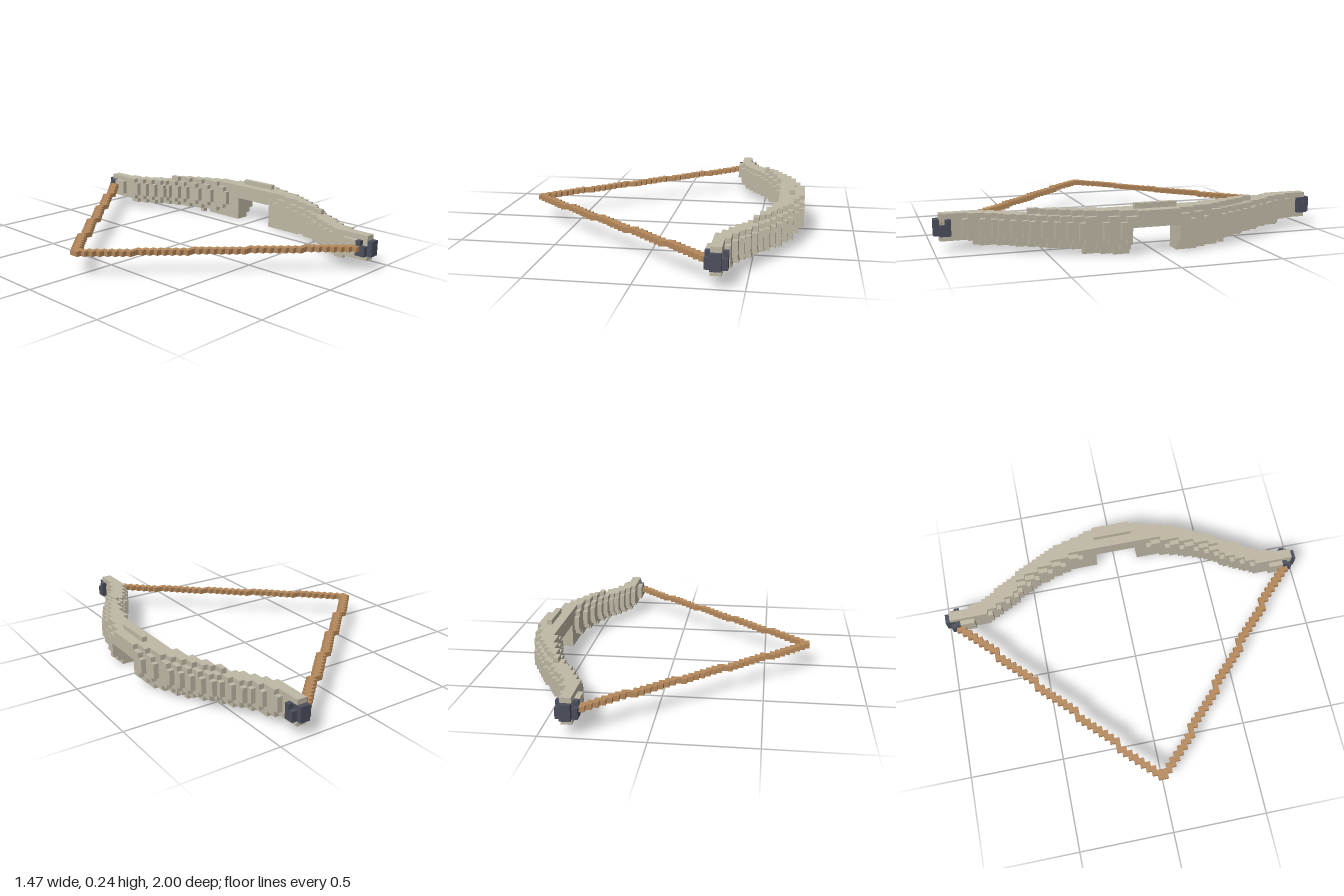
import * as THREE from 'three';
import { mergeGeometries } from 'three/addons/utils/BufferGeometryUtils.js';

const V = 2 / 76; // edge of one block
const X0 = -28 * V;

const mat = (name, color) => {
  const m = new THREE.MeshStandardMaterial({ color });
  m.name = name;
  return m;
};

// Box spanning block indices [i0,i1) x [y0,y1) x [k0,k1)
function blocks(i0, i1, y0, y1, k0, k1) {
  const g = new THREE.BoxGeometry((i1 - i0) * V, (y1 - y0) * V, (k1 - k0) * V);
  return g.translate(X0 + (i0 + i1) / 2 * V, (y0 + y1) / 2 * V, (k0 + k1) / 2 * V);
}

function part(name, geometries, material) {
  const mesh = new THREE.Mesh(mergeGeometries(geometries), material);
  mesh.name = name;
  return mesh;
}

// Slice counts from the middle at which each edge of the curve steps in by one block
const OUTER = [7, 10, 14, 16, 18, 20, 22, 23, 25, 27, 28, 30, 33];
const INNER = [7, 11, 14, 17, 19, 21, 22, 24, 26, 28];
const steps = (table, j) => table.filter((end) => j >= end).length;
const outerEdge = (j) => 56 - steps(OUTER, j);
const innerEdge = (j) => 51 - steps(INNER, j);
// Rows away from mid-height are shifted along the curve, which rounds the section
const ROUND = [0, 0, 1, 3, 6];

export function createModel() {
  const group = new THREE.Group();
  group.name = 'bow';
  const bone = mat('paleWood', 0xbfb8a5);
  const iron = mat('darkTip', 0x4b4f5b);
  const cord = mat('cord', 0xb5885a);

  // Curved limbs and handle, one bar of blocks per slice and row
  const limb = [];
  for (let k = -37; k < 37; k++) {
    const j = k < 0 ? -k - 1 : k;
    const top = j < 22 ? 8 : 7;
    let bottom = j < 13 || k === -15 ? 0 : j < 31 ? 1 : 2;
    if (k >= -4 && k <= 4) bottom = 5; // hand notch
    for (let y = bottom; y < top; y++) {
      const s = ROUND[Math.abs(y - 4)];
      const i0 = innerEdge(j - s);
      const i1 = Math.max(i0 + 1, outerEdge(j + s));
      limb.push(blocks(i0, i1, y, y + 1, k, k + 1));
    }
  }
  for (const [a, b] of [[32, 35], [-35, -32]]) limb.push(blocks(40, 41, 3, 6, a, b)); // string seats
  group.add(part('limbs', limb, bone));
  group.add(part('handleRidge', [blocks(53, 54, 8, 9, -4, 4)], bone));

  // Dark caps at both ends
  for (const side of [1, -1]) {
    const span = (a, b) => (side > 0 ? [a, b] : [-b, -a]);
    group.add(part(side > 0 ? 'frontTip' : 'backTip', [
      blocks(40, 44, 3, 5, ...span(35, 37)),
      blocks(40, 44, 5, 6, ...span(35, 36)),
      blocks(41, 43, 3, 6, ...span(36, 38)),
    ], iron));

    // Drawn string, a stair of blocks from the nocking point to the tip
    const string = [];
    for (let i = 0; i < 41; i++) {
      const a = Math.floor(i * 0.875);
      const b = Math.floor((i + 1) * 0.875) + 1;
      string.push(blocks(i, i + 1, 4, 5, ...span(a, b)));
    }
    group.add(part(side > 0 ? 'frontString' : 'backString', string, cord));
  }
  return group;
}
